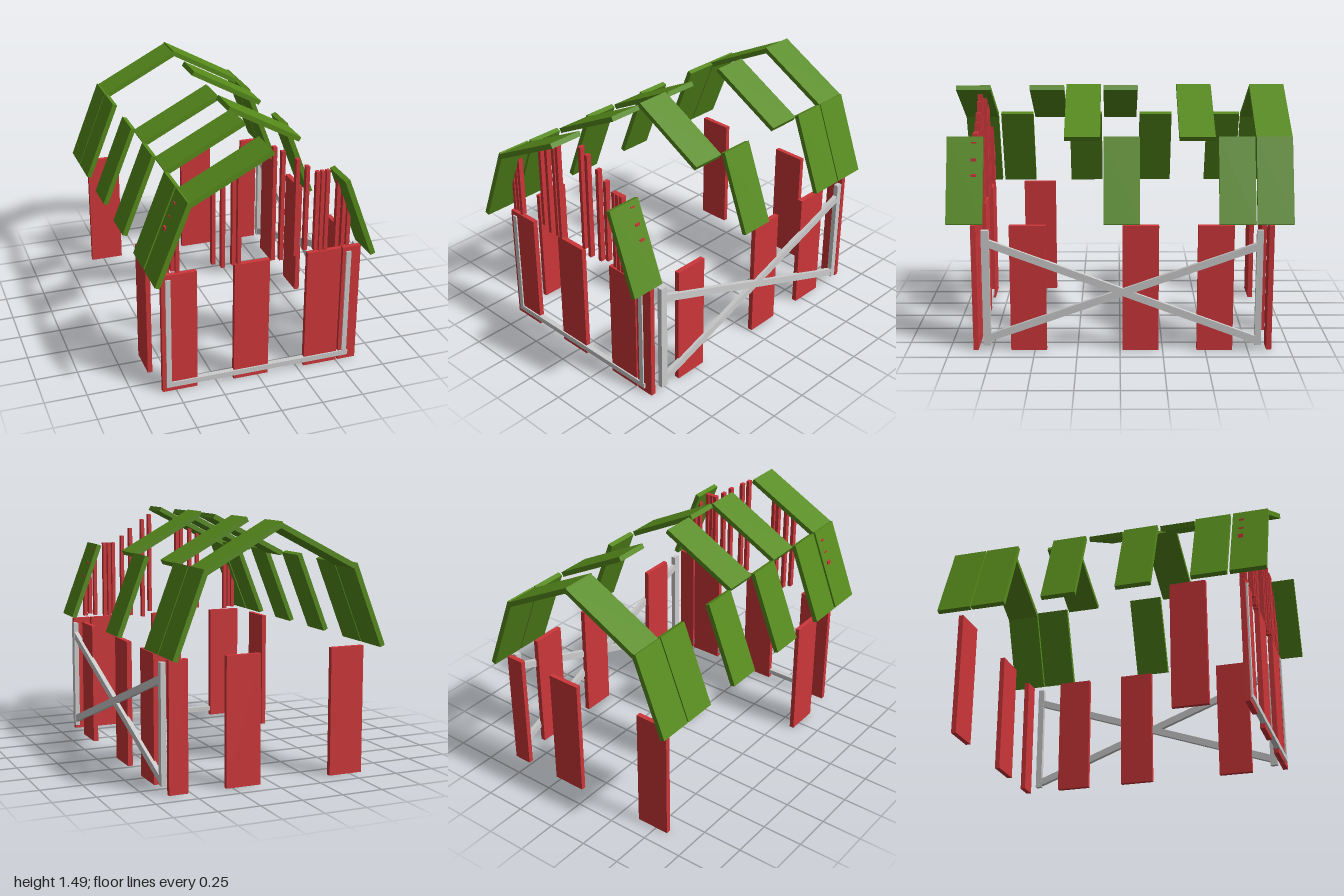
import * as THREE from 'three';

const red = new THREE.MeshStandardMaterial({ color: 0xcc3639 });
const green = new THREE.MeshStandardMaterial({ color: 0x568a1b });
const grey = new THREE.MeshStandardMaterial({ color: 0xcccccc });

export function createModel() {
  const model = new THREE.Group();

  // Box given by its extents on each axis
  function box(name, material, [x0, x1], [y0, y1], [z0, z1]) {
    const mesh = new THREE.Mesh(new THREE.BoxGeometry(x1 - x0, y1 - y0, z1 - z0), material);
    mesh.position.set((x0 + x1) / 2, (y0 + y1) / 2, (z0 + z1) / 2);
    mesh.name = name;
    model.add(mesh);
    return mesh;
  }

  // Roof slopes: sloping line in x/y, and the z centres of the panels left on it
  const slopes = [
    ['rightUpperRoof', [0.003, 1.475], [0.455, 1.227], [-0.895, -0.45, 0.22]],
    ['leftUpperRoof', [0.017, 1.468], [-0.448, 1.227], [-0.895, -0.005, 0.445, 0.895]],
    ['rightLowerRoof', [0.455, 1.24], [0.637, 0.762], [-0.895, -0.677, -0.01, 0.895]],
    ['leftLowerRoof', [-0.45, 1.24], [-0.64, 0.762], [-0.895, -0.677, -0.235, 0.22, 0.668, 0.895]],
  ];
  for (const [name, a, b, centres] of slopes) {
    const dx = b[0] - a[0], dy = b[1] - a[1];
    for (const z of centres) {
      const panel = new THREE.Mesh(new THREE.BoxGeometry(Math.hypot(dx, dy), 0.03, 0.21), green);
      panel.position.set((a[0] + b[0]) / 2, (a[1] + b[1]) / 2, z);
      panel.rotation.z = Math.atan2(dy, dx);
      panel.name = name + 'Panel';
      model.add(panel);
    }
  }

  // Wall boards
  const wall = [0, 0.753];
  for (const x of [[-0.58, -0.37], [-0.147, 0.065], [0.295, 0.505], [0.515, 0.627]])
    box('frontBoard', red, x, wall, [0.832, 0.862]);
  for (const x of [[-0.58, -0.37], [0.077, 0.287], [0.517, 0.63]])
    box('backBoard', red, x, wall, [-0.89, -0.86]);
  for (const z of [[0.43, 0.64], [-0.225, -0.015], [-0.66, -0.45]])
    box('rightBoard', red, [0.6, 0.63], wall, z);
  box('leftBoard', red, [-0.607, -0.579], wall, [0.43, 0.64]);

  // Front gable battens: x centre, bottom, top
  const battens = [
    [-0.541, 0.77, 1.05], [-0.511, 0.775, 1.11], [-0.482, 0.76, 1.185],
    [-0.272, 0.777, 1.293], [-0.216, 0.747, 1.33], [-0.153, 0.753, 1.37], [-0.121, 0.753, 1.38],
    [0.081, 0.77, 1.433], [0.132, 0.737, 1.4], [0.219, 0.75, 1.343], [0.279, 0.777, 1.293],
    [0.343, 0.765, 1.25], [0.373, 0.757, 1.25], [0.404, 0.757, 1.25],
    [0.473, 0.767, 1.215], [0.51, 0.777, 1.125], [0.542, 0.765, 1.04],
  ];
  for (const [x, y0, y1] of battens)
    box('gableBatten', red, [x - 0.011, x + 0.011], [y0, y1], [0.829, 0.86]);

  // Front frame: two posts and a sill
  const frameZ = [0.838, 0.871];
  box('frontPost', grey, [-0.557, -0.527], [0.028, 0.727], frameZ);
  box('frontPost', grey, [0.536, 0.566], [0.045, 0.727], frameZ);
  box('frontSill', grey, [-0.557, 0.575], [0.028, 0.06], frameZ);

  // Right side frame: two posts and a crossed brace
  for (const z of [[0.755, 0.8], [-0.825, -0.787]])
    box('sidePost', grey, [0.621, 0.651], [0.037, 0.73], z);
  for (const [y0, y1] of [[0.655, 0.065], [0.08, 0.635]]) {
    const z0 = 0.77, z1 = -0.8;
    const brace = new THREE.Mesh(
      new THREE.BoxGeometry(0.028, 0.043, Math.hypot(z1 - z0, y1 - y0)), grey);
    brace.position.set(0.636, (y0 + y1) / 2, (z0 + z1) / 2);
    brace.rotation.x = -Math.atan2(y0 - y1, z0 - z1);
    brace.name = 'sideBrace';
    model.add(brace);
  }
  return model;
}
